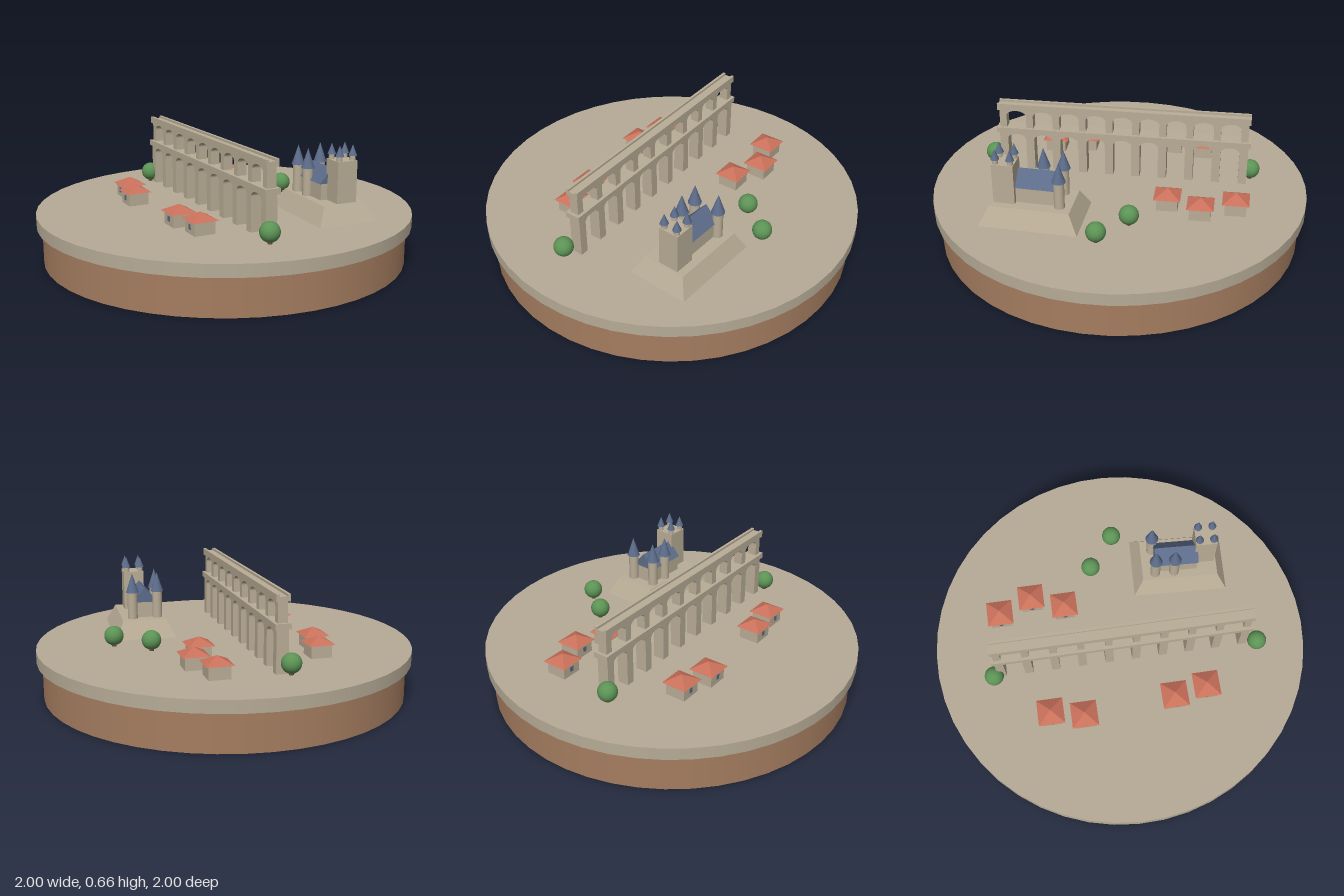
import * as THREE from 'three';

const mat = (name, color) => new THREE.MeshStandardMaterial({ name, color });

export function createModel() {
  const root = new THREE.Group();
  root.name = 'townDiorama';
  const M = {
    soil: mat('soil', 0xa57d60),
    ground: mat('ground', 0xb6ab96),
    stone: mat('stone', 0xb9ad96),
    roof: mat('terracotta', 0xc9705a),
    slate: mat('slate', 0x5c6c8a),
    leaf: mat('foliage', 0x5c9355),
    bark: mat('bark', 0x6b4c35),
    glass: mat('window', 0x5b6a80),
  };
  const GROUND = 0.265;
  const flat = (g) => { const n = g.toNonIndexed(); n.computeVertexNormals(); return n; };
  const add = (parent, name, geo, material, x, y, z) => {
    const m = new THREE.Mesh(geo, material);
    m.name = name;
    m.position.set(x, y, z);
    parent.add(m);
    return m;
  };
  const group = (name, x, y, z, degrees) => {
    const g = new THREE.Group();
    g.name = name;
    g.position.set(x, y, z);
    g.rotation.y = THREE.MathUtils.degToRad(degrees);
    root.add(g);
    return g;
  };
  const box = (w, h, d) => new THREE.BoxGeometry(w, h, d);

  // four-sided frustum standing on y = 0
  const frustum = (w, d, topW, topD, h) => {
    const g = box(1, h, 1);
    const p = g.attributes.position;
    for (let i = 0; i < p.count; i++) {
      const top = p.getY(i) > 0;
      p.setXYZ(i, p.getX(i) * (top ? topW : w), top ? h : 0, p.getZ(i) * (top ? topD : d));
    }
    return flat(g);
  };

  // round island base
  add(root, 'soilBase', new THREE.CylinderGeometry(0.97, 0.97, 0.2, 48), M.soil, 0, 0.1, 0);
  add(root, 'groundDisc', new THREE.CylinderGeometry(1, 1, 0.065, 48), M.ground, 0, 0.2325, 0);

  // aqueduct: two tiers of arches with a water channel on top
  const aqueduct = group('aqueduct', -0.035, GROUND, 0.09, -20);
  const BAYS = 9, PITCH = 0.145;
  const arcade = (name, y, h, depth, pier, rise) => {
    const half = BAYS * PITCH / 2;
    const r = (PITCH - pier) / 2;
    const s = new THREE.Shape();
    s.moveTo(-half - pier / 2, 0);
    for (let i = 0; i < BAYS; i++) {
      const c = -half + (i + 0.5) * PITCH;
      s.lineTo(c - r, 0);
      s.lineTo(c - r, h - rise - 0.01);
      s.absellipse(c, h - rise - 0.01, r, rise, Math.PI, 0, true);
      s.lineTo(c + r, 0);
    }
    s.lineTo(half + pier / 2, 0);
    s.lineTo(half + pier / 2, h);
    s.lineTo(-half - pier / 2, h);
    s.closePath();
    const g = new THREE.ExtrudeGeometry(s, { depth, bevelEnabled: false, curveSegments: 10 });
    add(aqueduct, name, g, M.stone, 0, y, -depth / 2);
  };
  arcade('lowerArcade', 0, 0.222, 0.062, 0.045, 0.03);
  arcade('upperArcade', 0.25, 0.108, 0.05, 0.038, 0.03);
  add(aqueduct, 'middleDeck', box(1.375, 0.03, 0.082), M.stone, 0, 0.235, 0);
  add(aqueduct, 'topDeck', box(1.36, 0.025, 0.07), M.stone, 0, 0.366, 0);
  for (const s of [-1, 1])
    add(aqueduct, 'channelWall', box(1.36, 0.013, 0.015), M.stone, 0, 0.3835, s * 0.0275);

  // church on its sloped mound
  const church = group('church', 0.49, GROUND, -0.235, -23);
  add(church, 'mound', frustum(0.51, 0.33, 0.41, 0.235, 0.095), M.stone, 0, 0, 0);
  add(church, 'nave', box(0.23, 0.085, 0.125), M.stone, -0.02, 0.1375, 0.01);
  const gable = (w, h, d) => {
    const s = new THREE.Shape([
      new THREE.Vector2(-w / 2, 0), new THREE.Vector2(w / 2, 0), new THREE.Vector2(0, h)]);
    const g = new THREE.ExtrudeGeometry(s, { depth: d, bevelEnabled: false });
    g.translate(0, 0, -d / 2);
    g.rotateY(Math.PI / 2);
    return g;
  };
  add(church, 'naveRoof', gable(0.14, 0.08, 0.235), M.slate, -0.02, 0.18, 0.01);

  // round towers with slate spires
  for (const [x, z] of [[-0.144, -0.058], [-0.135, 0.079], [-0.032, 0.079]]) {
    add(church, 'roundTower', new THREE.CylinderGeometry(0.027, 0.027, 0.15, 16), M.stone, x, 0.165, z);
    add(church, 'towerSpire', new THREE.ConeGeometry(0.035, 0.105, 16), M.slate, x, 0.2925, z);
  }

  // square tower with four corner turrets
  add(church, 'squareTower', box(0.112, 0.22, 0.112), M.stone, 0.138, 0.2, 0.02 - 0.04);
  for (const sx of [-1, 1]) for (const sz of [-1, 1]) {
    const x = 0.138 + sx * 0.038, z = -0.02 + sz * 0.038;
    add(church, 'turret', new THREE.CylinderGeometry(0.015, 0.015, 0.026, 12), M.stone, x, 0.322, z);
    add(church, 'turretSpire', new THREE.ConeGeometry(0.022, 0.057, 12), M.slate, x, 0.3625, z);
  }

  // houses
  const houses = [[-0.52, -0.415], [-0.33, -0.42], [-0.19, -0.295], [-0.525, 0.21],
    [-0.375, 0.305], [0.095, 0.435], [0.27, 0.465]];
  for (const [x, z] of houses) {
    const house = group('house', x, GROUND, z, -20);
    add(house, 'walls', box(0.11, 0.07, 0.11), M.stone, 0, 0.035, 0);
    add(house, 'hipRoof', frustum(0.138, 0.138, 0.0005, 0.0005, 0.038), M.roof, 0, 0.068, 0);
    add(house, 'window', box(0.021, 0.027, 0.004), M.glass, 0, 0.037, 0.056);
  }

  // trees
  for (const [x, z] of [[-0.7, -0.11], [0.635, 0.375], [0.045, -0.43], [0.235, -0.545]]) {
    const tree = group('tree', x, GROUND, z, 0);
    add(tree, 'trunk', new THREE.CylinderGeometry(0.01, 0.012, 0.04, 8), M.bark, 0, 0.02, 0);
    add(tree, 'crown', new THREE.SphereGeometry(0.051, 20, 14), M.leaf, 0, 0.058, 0);
  }
  return root;
}
